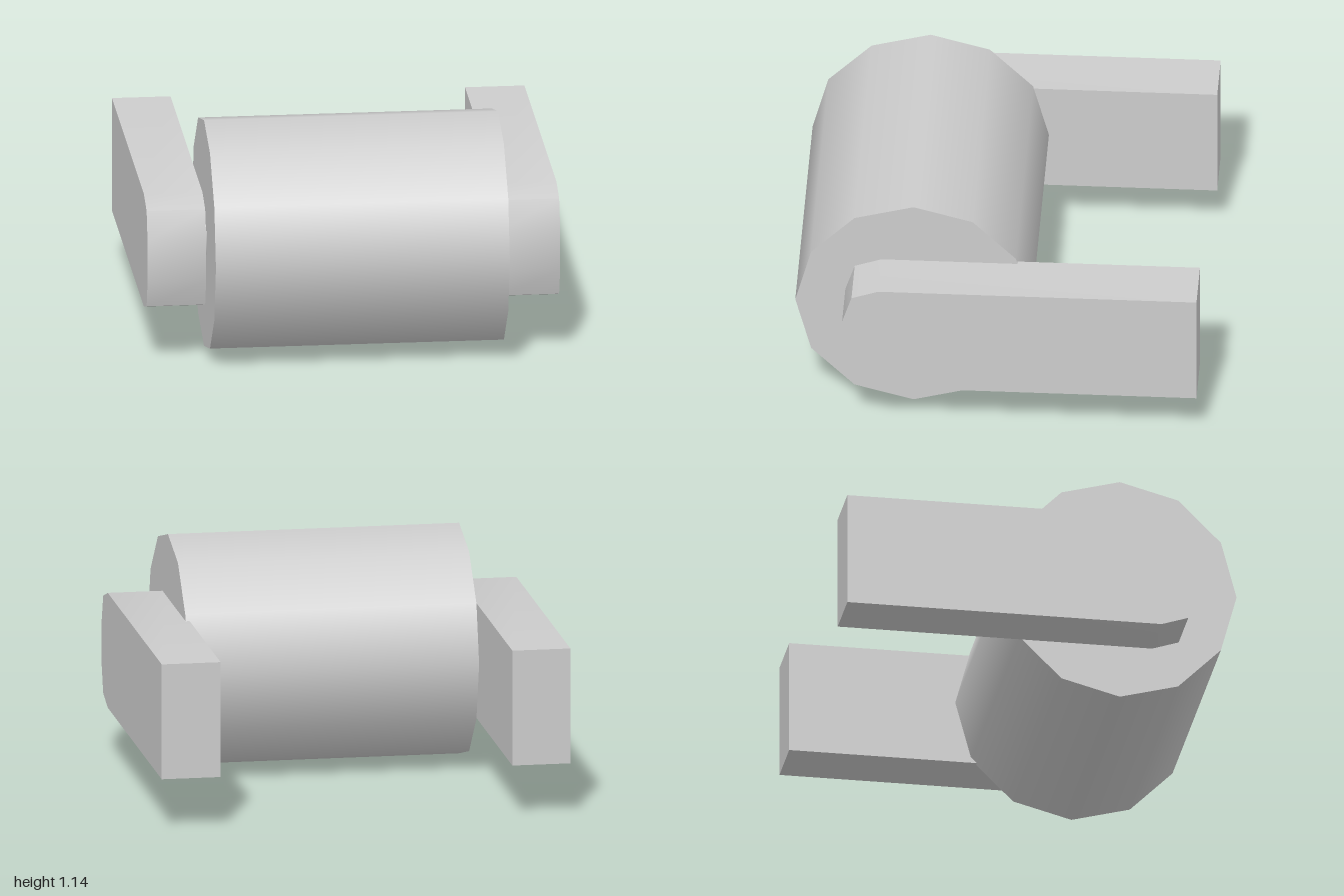
import * as THREE from 'three';
import { toCreasedNormals } from 'three/addons/utils/BufferGeometryUtils.js';

const grey = new THREE.MeshStandardMaterial({ color: 0xcccccc });
grey.name = 'light grey';

// Cylinder lying along x between two x positions
function xCylinder(name, radius, x0, x1, y, z) {
  const geometry = new THREE.CylinderGeometry(radius, radius, x1 - x0, 12);
  geometry.rotateZ(Math.PI / 2);
  const mesh = new THREE.Mesh(geometry, grey);
  mesh.name = name;
  mesh.position.set((x0 + x1) / 2, y, z);
  return mesh;
}

// Flat arm with a rounded front end, extruded along x
function arm(name, x0, x1) {
  const profile = [ // [z, y]
    [-0.977, 0.257], [-0.977, 0.826], [0.56, 0.826], [0.69, 0.782],
    [0.735, 0.643], [0.735, 0.435], [0.69, 0.3], [0.56, 0.257],
  ];
  const shape = new THREE.Shape(profile.map(([z, y]) => new THREE.Vector2(-z, y)));
  const geometry = new THREE.ExtrudeGeometry(shape, { depth: x1 - x0, bevelEnabled: false });
  geometry.rotateY(Math.PI / 2);
  const mesh = new THREE.Mesh(toCreasedNormals(geometry, 0.6), grey);
  mesh.name = name;
  mesh.position.x = x0;
  return mesh;
}

export function createModel() {
  const model = new THREE.Group();
  model.name = 'rollerBracket';
  model.add(
    xCylinder('drum', 0.571, -0.693, 0.732, 0.571, 0.406),
    xCylinder('axle', 0.113, -0.73, -0.68, 0.556, 0.418),
    arm('leftArm', 0.712, 1),
    arm('rightArm', -1, -0.716),
  );
  return model;
}
